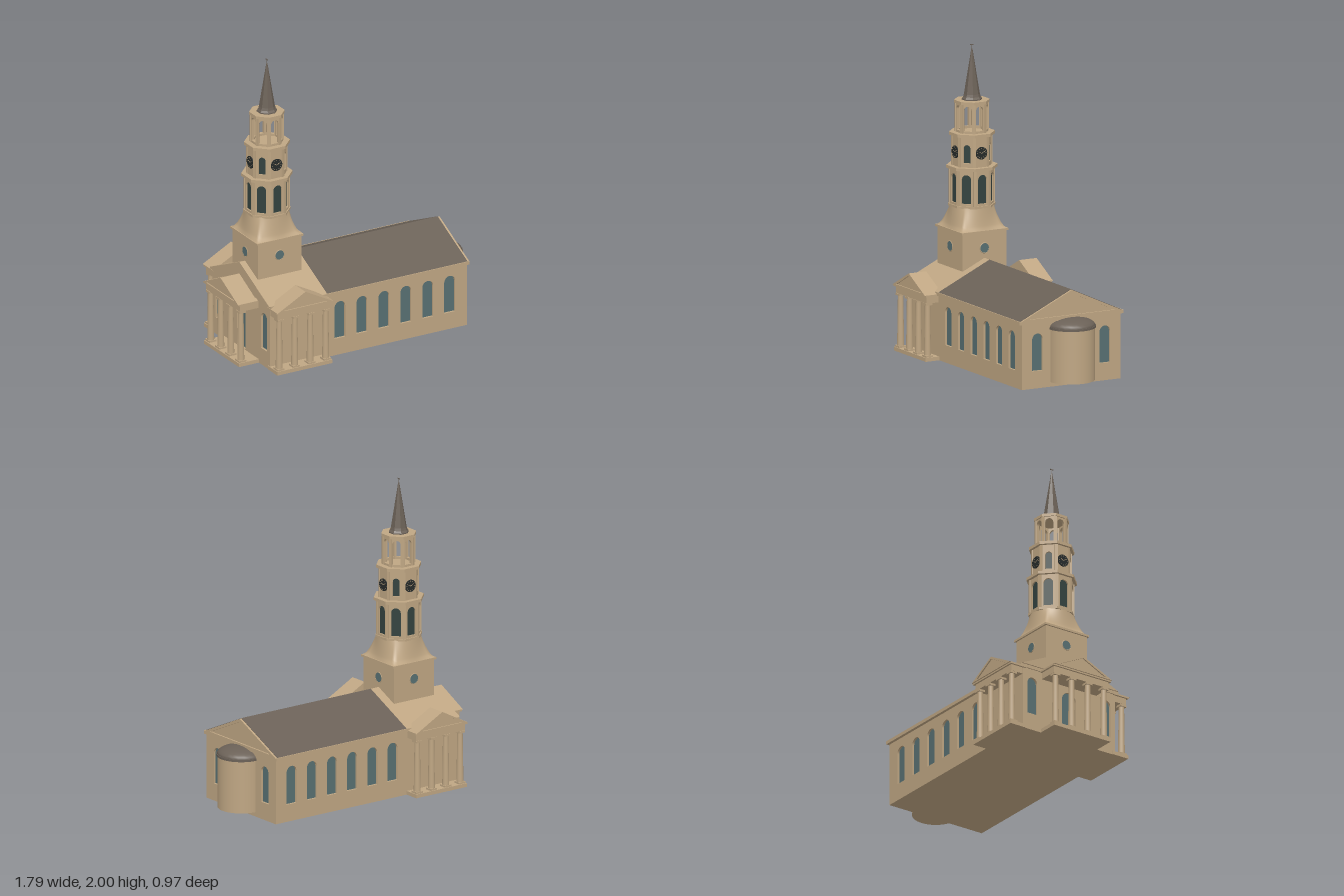
import * as THREE from 'three';

const mat = (name, color) => new THREE.MeshStandardMaterial({ name, color });

export function createModel() {
  const stone = mat('stone', 0xbfa683);
  const slate = mat('slate', 0x6b6157);
  const glass = mat('glass', 0x587072);
  const louvre = mat('louvre', 0x33423f);
  const black = mat('clockBlack', 0x262b2a);

  const root = new THREE.Group();
  root.name = 'church';
  // Church frame: +x runs along the nave, origin under the tower
  const church = new THREE.Group();
  church.name = 'body';
  church.position.set(-0.54, 0, 0.01);
  church.rotation.y = 0.052;
  root.add(church);

  const add = (parent, name, geo, material, x = 0, y = 0, z = 0) => {
    const m = new THREE.Mesh(geo, material);
    m.name = name;
    m.position.set(x, y, z);
    parent.add(m);
    return m;
  };
  const group = (parent, name, x = 0, y = 0, z = 0, ry = 0) => {
    const g = new THREE.Group();
    g.name = name;
    g.position.set(x, y, z);
    g.rotation.y = ry;
    parent.add(g);
    return g;
  };
  const box = (parent, name, w, h, d, material, x, y, z) =>
    add(parent, name, new THREE.BoxGeometry(w, h, d), material, x, y, z);
  const extrude = (shape, depth) =>
    new THREE.ExtrudeGeometry(shape, { depth, bevelEnabled: false, curveSegments: 10 });
  const triangle = (half, y0, y1, Type = THREE.Shape) =>
    new Type([[-half, y0], [half, y0], [0, y1]].map(p => new THREE.Vector2(...p)));

  // Wall facing +z with round-arched openings [x, bottom, top, width], closed by panes
  const wall = (parent, name, w, y0, y1, openings, t, pane) => {
    const s = new THREE.Shape([[-w / 2, y0], [w / 2, y0], [w / 2, y1], [-w / 2, y1]]
      .map(p => new THREE.Vector2(...p)));
    openings.forEach(([x, b, top, ow]) => {
      const r = ow / 2;
      const h = new THREE.Path();
      h.moveTo(x - r, b);
      h.lineTo(x - r, top - r);
      h.absarc(x, top - r, r, Math.PI, 0, true);
      h.lineTo(x + r, b);
      h.closePath();
      s.holes.push(h);
      if (pane) box(parent, 'windowPane', ow + 0.006, top - b + 0.006, 0.005, pane, x, (b + top) / 2, -t * 0.7);
    });
    add(parent, name, extrude(s, t), stone, 0, 0, -t);
  };

  // Nave walls
  const W = 0.366, X0 = -0.19, X1 = 1.275, H = 0.435;
  const mid = (X0 + X1) / 2, len = X1 - X0;
  for (const side of [1, -1]) {
    const g = group(church, side > 0 ? 'leftNaveWall' : 'rightNaveWall', mid, 0, side * W, side > 0 ? 0 : Math.PI);
    const wins = [];
    for (let i = 0; i < 6; i++) wins.push([side * (0.33 + i * 0.1634 - mid), 0.115, 0.37, 0.08]);
    wall(g, 'wall', len, 0, H, wins, 0.025, glass);
  }
  wall(group(church, 'apseEndWall', X1, 0, 0, Math.PI / 2), 'wall', 2 * W, 0, H,
    [[-0.25, 0.115, 0.36, 0.078], [0.25, 0.115, 0.36, 0.078]], 0.025, glass);
  wall(group(church, 'entranceWall', X0, 0, 0, -Math.PI / 2), 'wall', 2 * W, 0, H,
    [[-0.29, 0.115, 0.37, 0.075], [0, 0.03, 0.34, 0.11], [0.29, 0.115, 0.37, 0.075]], 0.025, glass);
  box(church, 'floor', len - 0.01, 0.02, 2 * W - 0.01, stone, mid, 0.01, 0);
  box(church, 'eavesCornice', len + 0.015, 0.022, 0.772, stone, mid, 0.439, 0);

  // Roofs and end gable
  const roof = (name, a, b, material) => {
    const m = add(church, name, extrude(triangle(0.38, 0.45, 0.625), b - a), material, a);
    m.rotation.y = Math.PI / 2;
  };
  roof('frontRoof', -0.205, 0.226, stone);
  roof('naveRoof', 0.226, 1.272, slate);
  const rake = triangle(0.382, 0.446, 0.622);
  rake.holes.push(triangle(0.315, 0.458, 0.602, THREE.Path));
  add(church, 'gableRake', extrude(rake, 0.014), stone, 1.272).rotation.y = Math.PI / 2;
  add(church, 'gableFace', extrude(triangle(0.36, 0.45, 0.612), 0.004), stone, 1.271).rotation.y = Math.PI / 2;

  // Apse with low dome
  const apse = group(church, 'apse', 1.274, 0, 0);
  const half = (r, h) => new THREE.CylinderGeometry(r, r, h, 24, 1, false, 0, Math.PI);
  add(apse, 'apseWall', half(0.153, 0.347), stone, 0, 0.2035, 0);
  add(apse, 'apseCornice', half(0.16, 0.014), slate, 0, 0.384, 0);
  add(apse, 'apseDome', new THREE.SphereGeometry(0.157, 12, 6, Math.PI / 2, Math.PI, 0, Math.PI / 2)
    .scale(1, 0.34, 1), slate, 0, 0.39, 0);

  // Porticoes, built facing +z
  const portico = (name, x, ry, halfW, back, front) => {
    const g = group(church, name, x, 0, 0, ry);
    const d = front - back, c = (front + back) / 2;
    box(g, 'platform', halfW * 2 - 0.01, 0.025, d, stone, 0, 0.0125, c);
    box(g, 'entablature', halfW * 2 - 0.025, 0.05, d - 0.012, stone, 0, 0.405, c - 0.006);
    box(g, 'cornice', halfW * 2, 0.012, d, stone, 0, 0.43, c);
    add(g, 'pediment', extrude(triangle(halfW, 0.434, 0.545), d), stone, 0, 0, back);
    const ped = triangle(halfW, 0.434, 0.545);
    ped.holes.push(triangle(halfW - 0.05, 0.444, 0.53, THREE.Path));
    add(g, 'pedimentRake', extrude(ped, 0.008), stone, 0, 0, front);
    for (let i = 0; i < 4; i++) {
      const cx = (i / 3 - 0.5) * 2 * (halfW - 0.037), cz = front - 0.032;
      add(g, 'column', new THREE.CylinderGeometry(0.018, 0.023, 0.34, 16), stone, cx, 0.2, cz);
      box(g, 'columnBase', 0.052, 0.012, 0.052, stone, cx, 0.031, cz);
      box(g, 'columnCapital', 0.047, 0.014, 0.047, stone, cx, 0.373, cz);
    }
  };
  portico('leftPortico', 0.01, 0, 0.21, 0.345, 0.467);
  portico('rightPortico', 0.01, Math.PI, 0.21, 0.345, 0.467);
  portico('entrancePortico', 0, -Math.PI / 2, 0.228, 0.185, 0.338);

  // Square tower base with round windows
  const tower = group(church, 'tower');
  box(tower, 'towerBase', 0.324, 0.36, 0.324, stone, 0, 0.615, 0);
  box(tower, 'towerBaseCornice', 0.345, 0.014, 0.345, stone, 0, 0.798, 0);
  for (let i = 0; i < 4; i++) {
    const f = group(tower, 'roundWindow', 0, 0.69, 0, i * Math.PI / 2);
    add(f, 'pane', new THREE.CylinderGeometry(0.032, 0.032, 0.004, 24).rotateX(Math.PI / 2), glass, 0, 0, 0.162);
    add(f, 'frame', new THREE.TorusGeometry(0.033, 0.003, 6, 24), stone, 0, 0, 0.162);
  }

  // Curved transition from square to round
  const rings = 10, segs = 64, pos = [], idx = [];
  for (let j = 0; j <= rings; j++) {
    const t = j / rings, k = Math.pow(t, 0.6);
    for (let i = 0; i <= segs; i++) {
      const a = i / segs * Math.PI * 2;
      const sq = 0.166 / Math.max(Math.abs(Math.cos(a)), Math.abs(Math.sin(a)));
      const r = sq * (1 - k) + 0.143 * k;
      pos.push(r * Math.sin(a), 0.805 + 0.145 * t, r * Math.cos(a));
      if (j < rings && i < segs) {
        const p = j * (segs + 1) + i, q = p + segs + 1;
        idx.push(p, p + 1, q, p + 1, q + 1, q);
      }
    }
  }
  const swoop = new THREE.BufferGeometry();
  swoop.setAttribute('position', new THREE.Float32BufferAttribute(pos, 3));
  swoop.setIndex(idx);
  swoop.computeVertexNormals();
  add(tower, 'curvedTransition', swoop, stone);

  // Octagonal stages
  const K = Math.cos(Math.PI / 8);
  const slab = (name, ap, y0, y1) => add(tower, name,
    new THREE.CylinderGeometry(ap / K, ap / K, y1 - y0, 8).toNonIndexed().rotateY(Math.PI / 8),
    stone, 0, (y0 + y1) / 2, 0).geometry.computeVertexNormals();
  const stage = (name, ap, y0, y1, opening, pane, clocks) => {
    const w = 2 * ap * Math.tan(Math.PI / 8);
    for (let i = 0; i < 8; i++) {
      const a = i * Math.PI / 4;
      const g = group(tower, name, ap * Math.sin(a), 0, ap * Math.cos(a), a);
      const clock = clocks && i % 2 === 0;
      wall(g, 'panel', w, y0, y1, clock ? [] : [opening], 0.018, pane);
      if (clock) addClock(g);
      // Corner pilaster
      const b = a + Math.PI / 8;
      const p = group(tower, 'pilaster', (ap / K - 0.004) * Math.sin(b), 0, (ap / K - 0.004) * Math.cos(b), b);
      box(p, 'shaft', 0.02, y1 - y0, 0.012, stone, 0, (y0 + y1) / 2, 0);
    }
  };
  const addClock = parent => {
    const c = group(parent, 'clock', 0, 1.305, 0);
    add(c, 'dial', new THREE.CylinderGeometry(0.041, 0.041, 0.006, 28).rotateX(Math.PI / 2), black, 0, 0, 0.003);
    for (let i = 0; i < 12; i++) {
      const a = i * Math.PI / 6;
      box(c, 'hourMark', 0.002, 0.008, 0.002, stone, 0.032 * Math.sin(a), 0.032 * Math.cos(a), 0.0065).rotation.z = -a;
    }
    for (const [a, l] of [[-1.05, 0.02], [1.05, 0.027]])
      box(c, 'clockHand', 0.003, l, 0.002, stone, Math.sin(a) * l / 2, Math.cos(a) * l / 2, 0.0065).rotation.z = -a;
  };
  slab('lowerSill', 0.143, 0.945, 0.96);
  stage('lowerStage', 0.136, 0.96, 1.195, [0, 0.975, 1.165, 0.063], louvre, false);
  slab('lowerCornice', 0.154, 1.193, 1.212);
  stage('clockStage', 0.121, 1.212, 1.415, [0, 1.24, 1.36, 0.045], louvre, true);
  slab('clockCornice', 0.138, 1.41, 1.43);
  stage('openBelfry', 0.1, 1.43, 1.622, [0, 1.445, 1.607, 0.053], null, false);
  slab('belfryCornice', 0.107, 1.62, 1.638);

  // Spire and finial
  const profile = [[0.066, 1.638], [0.066, 1.645], [0.057, 1.658], [0.052, 1.675], [0.004, 1.97], [0, 1.972]]
    .map(p => new THREE.Vector2(...p));
  const spire = new THREE.LatheGeometry(profile, 8).toNonIndexed().rotateY(Math.PI / 8);
  spire.computeVertexNormals();
  add(tower, 'spire', spire, slate);
  add(tower, 'finialRod', new THREE.CylinderGeometry(0.002, 0.002, 0.04, 6), slate, 0, 1.979, 0);
  box(tower, 'weatherVane', 0.003, 0.006, 0.024, slate, 0, 1.997, 0);
  return root;
}
